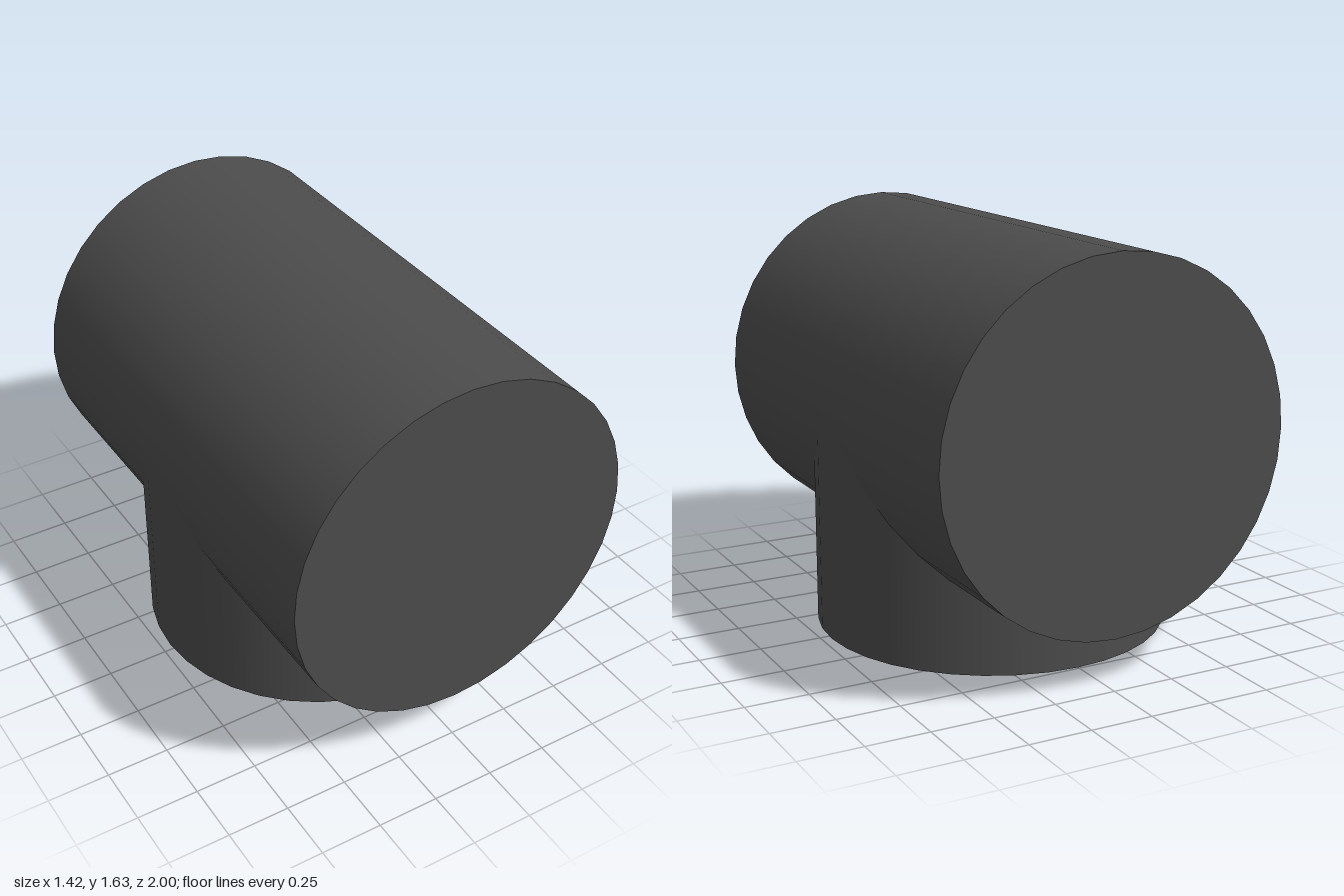
import * as THREE from 'three';

const RADIUS = 0.712;
const SIDES = 36;
const AXIS_Y = 0.915;

export function createModel() {
  const group = new THREE.Group();
  group.name = 'pipeTee';
  const material = new THREE.MeshStandardMaterial({ color: 0x4c4c4c });

  const addPipe = (name, length) => {
    const pipe = new THREE.Mesh(new THREE.CylinderGeometry(RADIUS, RADIUS, length, SIDES), material);
    pipe.name = name;
    group.add(pipe);
    return pipe;
  };

  // Main run, lying front to back
  const run = addPipe('mainPipe', 2);
  run.rotation.x = Math.PI / 2;
  run.position.y = AXIS_Y;

  // Branch, rising from the ground to the axis of the run, slightly behind the middle
  const branch = addPipe('branchPipe', AXIS_Y);
  branch.position.set(0, AXIS_Y / 2, -0.03);

  return group;
}
